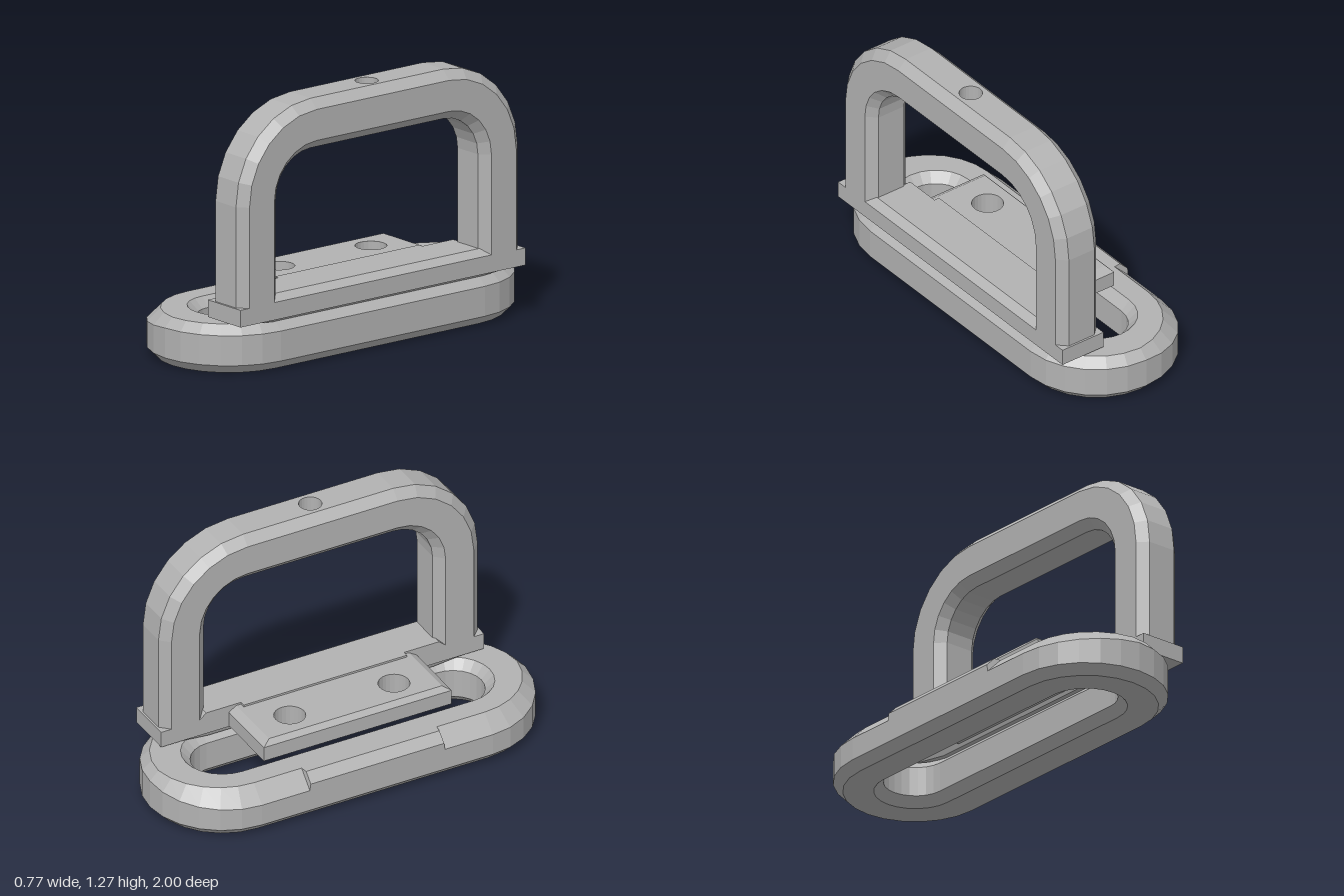
import * as THREE from 'three';
import { mergeGeometries } from 'three/addons/utils/BufferGeometryUtils.js';

// Skin a series of closed sections with flat quads; skip(i, j) leaves a face open
function loft(sections, closed = false, skip = () => false) {
  const pos = [];
  const n = sections[0].length;
  const last = closed ? sections.length : sections.length - 1;
  for (let i = 0; i < last; i++) {
    const s = sections[i], t = sections[(i + 1) % sections.length];
    for (let j = 0; j < n; j++) {
      if (skip(i, j)) continue;
      const k = (j + 1) % n;
      pos.push(...s[j], ...s[k], ...t[k], ...s[j], ...t[k], ...t[j]);
    }
  }
  const g = new THREE.BufferGeometry();
  g.setAttribute('position', new THREE.Float32BufferAttribute(pos, 3));
  g.computeVertexNormals();
  return g;
}

// Horizontal rectangular face with round holes [x, z, radius]
function face(y, x0, x1, z, holes, up) {
  const f = up ? 1 : -1;
  const shape = new THREE.Shape([[x0, -z], [x1, -z], [x1, z], [x0, z]].map(p => new THREE.Vector2(...p)));
  for (const [hx, hz, r] of holes) shape.holes.push(new THREE.Path().absarc(hx, -hz * f, r, 0, Math.PI * 2, true));
  const g = new THREE.ShapeGeometry(shape, 12).rotateX(-f * Math.PI / 2).translate(0, y, 0).toNonIndexed();
  g.deleteAttribute('uv');
  return g;
}

// Inward-facing wall of a round hole
function holeWall(x, z, r, y0, y1) {
  const circle = y => Array.from({ length: 24 }, (_, i) => {
    const a = i / 24 * Math.PI * 2;
    return [x + r * Math.cos(a), y, z + r * Math.sin(a)];
  });
  return loft([circle(y0), circle(y1)]);
}

// Chamfered block from levels [y, x0, x1, halfDepth], bottom to top
function block(levels, holes = []) {
  const rings = levels.map(([y, a, b, z]) => [[a, y, z], [b, y, z], [b, y, -z], [a, y, -z]]);
  const lo = levels[0], hi = levels[levels.length - 1];
  return mergeGeometries([
    loft(rings), face(...lo, holes, false), face(...hi, holes, true),
    ...holes.map(([x, z, r]) => holeWall(x, z, r, lo[0], hi[0])),
  ]);
}

// Slotted oval base with chamfered edges
function baseGeometry() {
  const B = 0.045, WIDE = 0.08, H = 0.235, R = 0.385, CZ = 0.615, N = 12;
  const section = (nx, nz, cz, c) => [
    [R - B, 0], [R, B], [R, H - c], [R - c, H], [0.195, H], [0.15, H - B], [0.15, B], [0.195, 0],
  ].map(([r, y]) => [nx * r, y, cz + nz * r]);
  const rings = [];
  const arc = (start, cz) => {
    for (let i = 0; i <= N; i++) {
      const a = start + i / N * Math.PI;
      rings.push(section(Math.cos(a), Math.sin(a), cz, B + (WIDE - B) * Math.max(0, -Math.cos(a))));
    }
  };
  arc(0, CZ);
  // the wide chamfer stops short of the middle on the -x side
  for (const [z, c] of [[0.36, WIDE], [0.355, B], [-0.355, B], [-0.36, WIDE]]) rings.push(section(-1, 0, z, c));
  arc(Math.PI, -CZ);
  return loft(rings, true);
}

// Upright arch with eight-sided section and a hole in its flat top
function archGeometry() {
  const CY = 0.82, CZ = 0.4, N = 6;
  const profile = [[0.45, 0.19], [0.45, 0.34], [0.405, 0.385], [0.255, 0.385],
    [0.21, 0.34], [0.21, 0.19], [0.255, 0.145], [0.405, 0.145]];
  const section = (a, cz, cy) => profile.map(([r, x]) => [x, cy + r * Math.sin(a), cz + r * Math.cos(a)]);
  const rings = [section(0, CZ, 0.3)];
  for (const side of [0, 1]) {
    for (let i = 0; i <= N; i++) rings.push(section((side + i / N) * Math.PI / 2, side ? -CZ : CZ, CY));
  }
  rings.push(section(Math.PI, -CZ, 0.3));
  const top = CY + 0.45, hole = [0.265, 0, 0.055];
  return mergeGeometries([
    loft(rings, false, (i, j) => i === N + 1 && j === 0),
    face(top, 0.19, 0.34, CZ, [hole], true),
    holeWall(...hole, top - 0.12, top),
    face(top - 0.12, 0.2, 0.33, 0.06, [], true),
  ]);
}

export function createModel() {
  const group = new THREE.Group();
  const grey = new THREE.MeshStandardMaterial({ color: 0xb2b2b2 });
  grey.name = 'grey';
  const add = (name, geometry) => {
    const mesh = new THREE.Mesh(geometry, grey);
    mesh.name = name;
    group.add(mesh);
  };

  add('base', baseGeometry());
  add('arch', archGeometry());

  // Foot rail under the arch, its raised sill and the pad resting on the base
  add('footRail', block([[0.25, 0.145, 0.385, 0.86], [0.333, 0.145, 0.385, 0.86]]));
  add('sill', block([[0.33, 0.145, 0.385, 0.655], [0.335, 0.145, 0.385, 0.655], [0.365, 0.145, 0.345, 0.62]]));
  add('footPad', block([[0.225, 0.16, 0.34, 0.6], [0.252, 0.15, 0.375, 0.8]]));

  // Side plate with two screw holes, and the lip where it meets the sill
  add('sidePlate', block([
    [0.24, -0.175, 0.15, 0.48], [0.255, -0.195, 0.15, 0.5],
    [0.33, -0.195, 0.15, 0.5], [0.355, -0.172, 0.15, 0.46],
  ], [[-0.045, -0.28, 0.075], [-0.045, 0.275, 0.075]]));
  add('plateLip', block([[0.35, 0.118, 0.15, 0.435], [0.365, 0.118, 0.15, 0.435]]));

  return group;
}
